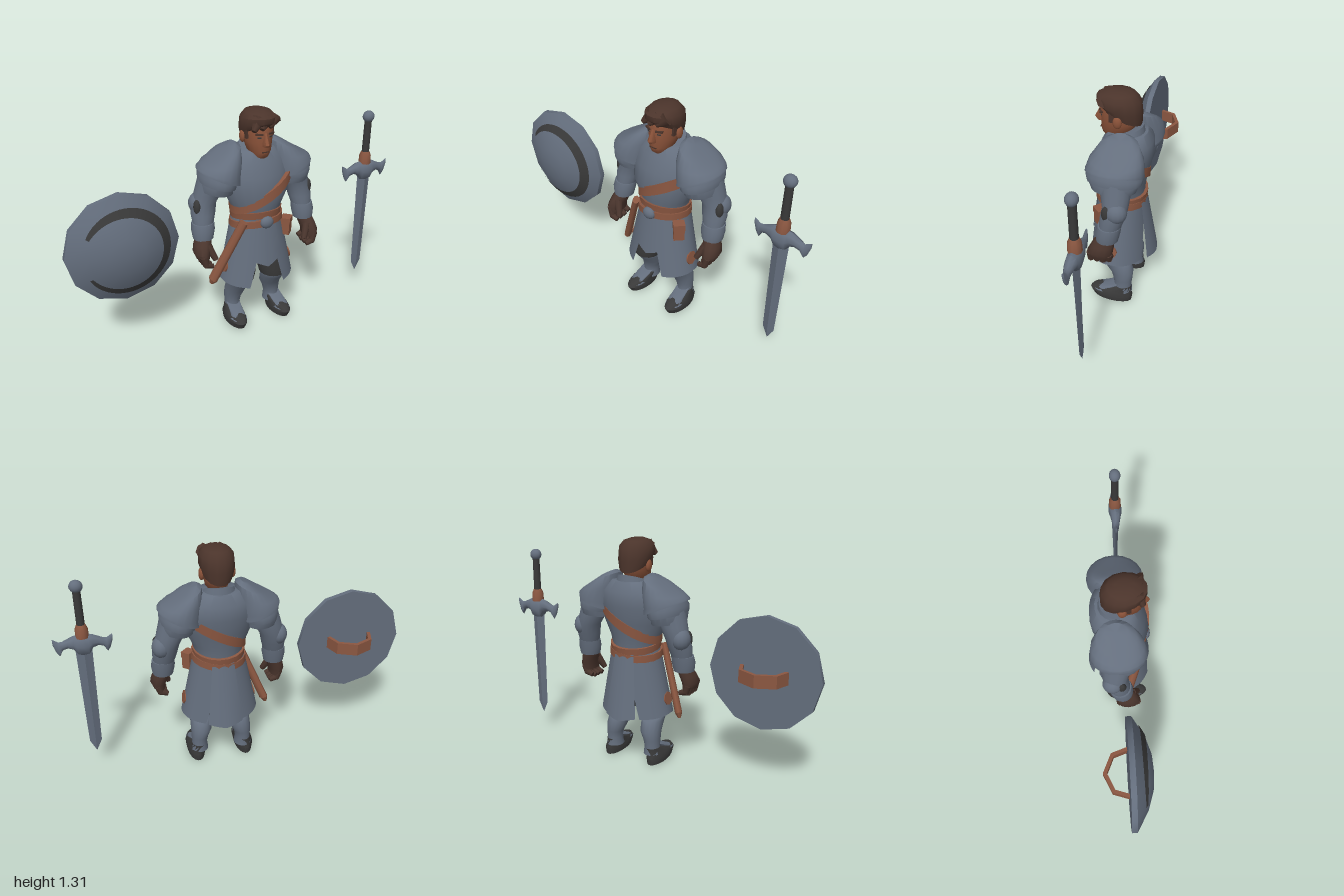
import * as THREE from 'three';
import { toCreasedNormals } from 'three/addons/utils/BufferGeometryUtils.js';
import { ParametricGeometry } from 'three/addons/geometries/ParametricGeometry.js';

const mat = (name, color, extra = {}) => {
  const m = new THREE.MeshStandardMaterial({ color, ...extra });
  m.name = name;
  return m;
};

// Closed skin over elliptical rings, listed from bottom to top.
// ring: [x, y, z, radiusX, radiusZ, slopeAlongX, slopeAlongZ]
function loft(rings, n = 18, crease = 0.75) {
  const pos = [], idx = [];
  for (const [x, y, z, rx, rz, tx = 0, tz = 0] of rings) {
    for (let i = 0; i < n; i++) {
      const a = (i / n) * Math.PI * 2, dx = rx * Math.cos(a), dz = rz * Math.sin(a);
      pos.push(x + dx, y + tx * dx + tz * dz, z + dz);
    }
  }
  const top = rings.length - 1, c0 = rings.length * n, c1 = c0 + 1;
  pos.push(...rings[0].slice(0, 3), ...rings[top].slice(0, 3));
  for (let i = 0; i < n; i++) {
    const j = (i + 1) % n;
    for (let k = 0; k < top; k++) {
      const a = k * n + i, b = k * n + j;
      idx.push(a, a + n, b, b, a + n, b + n);
    }
    idx.push(c0, i, j, c1, top * n + j, top * n + i);
  }
  const g = new THREE.BufferGeometry();
  g.setAttribute('position', new THREE.Float32BufferAttribute(pos, 3));
  g.setIndex(idx);
  return toCreasedNormals(g, crease);
}

// Tapered rod between two points
function rod(a, b, ra, rb, n = 8, flat = 1) {
  const A = new THREE.Vector3(...a), B = new THREE.Vector3(...b), d = B.clone().sub(A);
  const g = new THREE.CylinderGeometry(rb, ra, d.length(), n).scale(1, 1, flat);
  g.applyQuaternion(new THREE.Quaternion().setFromUnitVectors(new THREE.Vector3(0, 1, 0), d.normalize()));
  const m = A.add(B).multiplyScalar(0.5);
  return g.translate(m.x, m.y, m.z);
}

// Hanging cloth tail: half widths, heights of the corners and middle, depths, and bow
const tail = (w0, w1, y0, y1, yMid, z0, z1, bow) => new ParametricGeometry((u, v, p) => {
  const t = u * 2 - 1, x = t * (w0 + (w1 - w0) * v);
  p.set(x, y0 + (y1 + (yMid - y1) * (1 - Math.abs(t)) - y0) * v, z0 + (z1 - z0) * v - bow * x * x);
}, 8, 6);

const ball = (x, y, z, rx, ry, rz) =>
  new THREE.SphereGeometry(1, 14, 10).scale(rx, ry, rz).translate(x, y, z);
const box = (x, y, z, w, h, d, turn = 0) =>
  new THREE.BoxGeometry(w, h, d).rotateY(turn).translate(x, y, z);
const poly = (pts) => new THREE.Shape(pts.map(([x, y]) => new THREE.Vector2(x, y)));

export function createModel() {
  const steel = mat('steel', 0x646e7d), cloth = mat('steelCloth', 0x646e7d, { side: THREE.DoubleSide });
  const leather = mat('leather', 0x8b5741), skin = mat('skin', 0x8a5239);
  const hair = mat('hair', 0x4b342b), glove = mat('glove', 0x4a352d);
  const dark = mat('dark', 0x393939, { side: THREE.DoubleSide });
  const model = new THREE.Group(), knight = new THREE.Group(), shield = new THREE.Group(), sword = new THREE.Group();
  knight.name = 'knight'; shield.name = 'shield'; sword.name = 'sword';
  model.add(knight, shield, sword);
  const add = (group, name, geo, material) => {
    const m = new THREE.Mesh(geo, material);
    m.name = name;
    group.add(m);
    return m;
  };
  const body = (name, geo, material) => add(knight, name, geo, material);
  knight.position.x = 0.107;

  // Torso and collar
  body('breastplate', loft([
    [0, 0.6, 0.015, 0.13, 0.115], [0, 0.7, 0.015, 0.135, 0.125], [0, 0.76, 0.015, 0.15, 0.13],
    [0, 0.85, 0.015, 0.19, 0.15], [0, 0.95, -0.006, 0.2, 0.15], [0, 1.03, -0.02, 0.18, 0.135],
    [0, 1.085, -0.02, 0.115, 0.105]], 22, 1), steel);
  body('collar', loft([[0, 1.03, -0.01, 0.11, 0.11], [0, 1.09, -0.01, 0.085, 0.092, 0, -0.35]]), steel);

  // Belts, sash and pouch
  body('upperBelt', loft([[0, 0.69, 0.015, 0.147, 0.138, 0, 0.17], [0, 0.73, 0.015, 0.151, 0.143, 0, 0.17]]), leather);
  body('lowerBelt', loft([[0, 0.65, 0.018, 0.158, 0.143, 0.08, 0.12], [0, 0.69, 0.018, 0.156, 0.143, 0.08, 0.12]]), leather);
  body('chestStrap', loft([
    [0.025, 0.825, 0.015, 0.179, 0.157, 0.55], [0.025, 0.885, 0.012, 0.181, 0.158, 0.55]], 24), leather);
  body('buckle', ball(0, 0.69, 0.155, 0.04, 0.036, 0.025), steel);
  body('pouch', box(0.16, 0.612, 0.094, 0.06, 0.1, 0.05, 0.8), leather);
  body('pouchFlap', box(0.161, 0.648, 0.095, 0.065, 0.035, 0.056, 0.8), leather);
  body('scabbard', rod([-0.125, 0.7, 0.12], [-0.278, 0.325, 0.03], 0.027, 0.03, 8, 0.7), leather);
  body('scabbardTip', rod([-0.278, 0.325, 0.03], [-0.288, 0.297, 0.023], 0.03, 0.012, 8, 0.7), leather);

  // Pointed front tabard and long back tail
  body('tabard', tail(0.06, 0.095, 0.69, 0.465, 0.42, 0.15, 0.185, 3), cloth);
  body('backTail', tail(0.06, 0.1, 0.69, 0.31, 0.29, -0.118, -0.187, -3), cloth);

  // Head
  body('head', loft([
    [0, 1.03, 0.01, 0.055, 0.07], [0, 1.065, 0.05, 0.046, 0.07], [0, 1.09, 0.04, 0.062, 0.086],
    [0, 1.14, 0.025, 0.074, 0.1], [0, 1.2, 0.025, 0.078, 0.102], [0, 1.26, 0.02, 0.07, 0.09],
    [0, 1.29, 0.02, 0.04, 0.05]], 18, 1), skin);
  body('nose', loft([[0, 1.125, 0.12, 0.018, 0.03], [0, 1.14, 0.125, 0.019, 0.036], [0, 1.2, 0.115, 0.01, 0.016]], 8), skin);
  body('lips', box(0, 1.093, 0.119, 0.04, 0.006, 0.014), hair);
  body('hairCap', loft([
    [0, 1.18, 0.017, 0.085, 0.11, 0, 0.48], [0, 1.222, 0.025, 0.098, 0.121, 0, 0.25],
    [0, 1.27, 0.028, 0.094, 0.117, 0, 0.08], [0, 1.298, 0.028, 0.07, 0.085], [0, 1.31, 0.03, 0.035, 0.05]], 14, 0.8), hair);
  // Fringe swept to one side
  [-0.045, 0, 0.045].forEach((x, i) => body('fringeLock', rod(
    [x + 0.02, 1.27, 0.09], [x - 0.025, 1.216 + 0.006 * i, 0.126 - 3 * x * x], 0.04, 0.014, 7), hair));

  for (const s of [-1, 1]) {
    const side = s > 0 ? 'left' : 'right';
    const part = (name, geo, material) => body(side + name, geo, material);
    const M = (rings) => rings.map(([x, y, z, rx, rz, tx = 0, tz = 0]) => [x * s, y, z, rx, rz, tx * s, tz]);
    const line = (a, b, ...r) => rod([a[0] * s, a[1], a[2]], [b[0] * s, b[1], b[2]], ...r);

    // Face details
    part('Ear', ball(s * 0.085, 1.165, 0.015, 0.016, 0.035, 0.024), skin);
    part('Eye', box(s * 0.033, 1.175, 0.113, 0.02, 0.007, 0.009, s * 0.4), dark);
    part('Brow', box(s * 0.034, 1.194, 0.115, 0.04, 0.009, 0.018, s * 0.4), hair);
    part('Sideburn', box(s * 0.077, 1.19, 0.045, 0.014, 0.06, 0.03), hair);

    // Layered shoulder armour
    part('LowerPauldron', loft(M([
      [0.235, 0.87, -0.01, 0.092, 0.12, 0.12], [0.235, 0.93, -0.01, 0.094, 0.143, 0.1], [0.22, 1, -0.01, 0.085, 0.12]])), steel);
    part('MiddlePauldron', loft(M([
      [0.23, 0.91, -0.01, 0.1, 0.145, 0.2], [0.226, 0.945, -0.01, 0.104, 0.151, 0.2], [0.22, 1, -0.01, 0.09, 0.13]])), steel);
    part('UpperPauldron', loft(M([
      [0.217, 0.95, -0.01, 0.12, 0.155, 0.4], [0.217, 0.973, -0.01, 0.116, 0.154, 0.28], [0.2, 1.03, -0.015, 0.112, 0.14, -0.1],
      [0.178, 1.08, -0.02, 0.085, 0.105, -0.42], [0.162, 1.106, -0.02, 0.045, 0.06, -0.55]]), 20, 0.9), steel);

    // Arm, elbow guard and cuff
    part('Arm', loft(M([
      [0.32, 0.64, 0, 0.05, 0.052], [0.31, 0.74, -0.022, 0.07, 0.066], [0.297, 0.8, -0.035, 0.07, 0.068],
      [0.272, 0.86, -0.03, 0.08, 0.078], [0.245, 0.96, -0.02, 0.08, 0.09]]), 16, 1), steel);
    part('ElbowGuard', ball(s * 0.33, 0.79, -0.048, 0.052, 0.062, 0.058), steel);
    part('ElbowSleeve', ball(s * 0.351, 0.785, -0.002, 0.021, 0.048, 0.026), dark);
    part('Cuff', loft(M([
      [0.323, 0.6, 0.005, 0.058, 0.06], [0.321, 0.65, 0, 0.067, 0.066], [0.318, 0.69, -0.008, 0.064, 0.063]])), steel);

    // Gloved hand
    part('Hand', loft(M([
      [0.345, 0.495, 0.04, 0.036, 0.066], [0.35, 0.53, 0.038, 0.045, 0.07], [0.338, 0.57, 0.025, 0.048, 0.062],
      [0.322, 0.62, 0.008, 0.045, 0.046]]), 12, 1), glove);
    [0.09, 0.056, 0.022, -0.01].forEach((z, i) => {
      const low = 0.462 + (i === 3 ? 0.012 : 0);
      part('Finger', line([0.357, 0.52, z], [0.342, low, z + 0.002], 0.021, 0.019), glove);
      part('Fingertip', line([0.347, low + 0.006, z + 0.002], [0.303, low - 0.01, z + 0.002], 0.02, 0.014), glove);
    });
    part('Thumb', line([0.32, 0.57, 0.06], [0.285, 0.49, 0.095], 0.025, 0.016), glove);

    // Leg, greave and shoe
    part('Trouser', loft(M([[0.107, 0.295, 0.038, 0.078, 0.084], [0.1, 0.34, 0.038, 0.083, 0.088],
      [0.09, 0.45, 0.025, 0.08, 0.092], [0.065, 0.64, 0.015, 0.06, 0.085]]), 16, 1), dark);
    part('Greave', loft(M([
      [0.133, 0.06, -0.02, 0.052, 0.058], [0.132, 0.11, -0.022, 0.044, 0.05], [0.13, 0.15, -0.022, 0.05, 0.056],
      [0.118, 0.2, -0.015, 0.062, 0.066], [0.113, 0.26, 0.018, 0.066, 0.078], [0.112, 0.285, 0.04, 0.07, 0.081, 0, 0.2],
      [0.112, 0.3, 0.042, 0.068, 0.079, 0, 0.3]]), 16, 0.9), steel);
    part('Shoe', loft(M([
      [0.147, 0.007, 0.038, 0.05, 0.116, 0, 0.06], [0.147, 0.045, 0.045, 0.057, 0.128, 0, 0.05],
      [0.145, 0.068, 0.04, 0.05, 0.115, 0, 0.04], [0.135, 0.1, -0.02, 0.044, 0.055]])), dark);
    part('ToePlate', loft(M([
      [0.146, 0.06, 0.088, 0.049, 0.07], [0.144, 0.08, 0.075, 0.04, 0.06, 0, -0.1], [0.137, 0.115, 0.0, 0.04, 0.04, 0, -0.3]])), steel);

    // Flared side skirt with a round leather patch, open at front and back
    part('Skirt', new ParametricGeometry((u, v, p) => {
      const a = (1.45 - 0.38 * v) * (1 - 2 * u);
      p.set(s * (0.142 + 0.083 * v) * Math.cos(a),
        0.7 - v * (0.385 + 0.022 * Math.abs(Math.sin(a))),
        0.015 + 0.01 * v + (0.13 + 0.04 * v) * Math.sin(a));
    }, 16, 6), cloth);
    const patch = part('SkirtPatch', new THREE.CylinderGeometry(0.04, 0.04, 0.008, 8), leather);
    patch.position.set(s * 0.206, 0.4, 0.03);
    patch.rotation.z = -1.37 * s;
  }

  // Twelve-sided domed shield
  shield.position.set(-0.685, 0.658, 0);
  const profile = [[0, 0.01], [0.312, 0.01], [0.312, 0.04], [0.2, 0.105], [0.1, 0.138], [0, 0.147]];
  add(shield, 'shieldDome', toCreasedNormals(new THREE.LatheGeometry(
    profile.map(([r, h]) => new THREE.Vector2(r, h)), 12).rotateX(Math.PI / 2), 0.9), steel);
  add(shield, 'shieldCrescent', new ParametricGeometry((u, v, p) => {
    const t = u * 2 - 1, a = t * 2.6;
    const r = 0.226 + (v * 2 - 1) * 0.025 * (1 - 0.65 * Math.abs(t) ** 3);
    const z = r > 0.2 ? 0.105 - 0.58 * (r - 0.2) : 0.105 + 0.33 * (0.2 - r);
    p.set(r * Math.cos(a), r * Math.sin(a), z + 0.004);
  }, 48, 4), dark);
  const arch = [[-0.135, 0], [-0.105, 0.09], [0, 0.138], [0.105, 0.09], [0.135, 0]];
  const inner = arch.map(([x, y]) => [x * 0.85, y * 0.84]).reverse();
  const handle = add(shield, 'shieldHandle', new THREE.ExtrudeGeometry(poly([...arch, ...inner]),
    { depth: 0.07, bevelEnabled: false }).rotateX(-Math.PI / 2), leather);
  handle.position.set(0, -0.035, 0.011);

  // Sword
  sword.position.set(0.843, 0, 0.02);
  add(sword, 'blade', loft([[0, 0.12, 0, 0.001, 0.001], [0, 0.19, 0, 0.034, 0.011], [0, 0.83, 0, 0.045, 0.022]], 4, 0.2), steel);
  add(sword, 'pommel', ball(0, 1.16, 0, 0.036, 0.034, 0.032), steel);
  add(sword, 'grip', rod([0, 0.93, 0], [0, 1.14, 0], 0.022, 0.021, 12), dark);
  add(sword, 'gripCollar', loft([[0, 0.87, 0, 0.036, 0.036], [0, 0.92, 0, 0.034, 0.034], [0, 0.945, 0, 0.024, 0.024]], 10), leather);
  // Cross guard swept sideways: [distance, height, half height, half depth]
  const arm = [[0.03, 0.825, 0.06, 0.037], [0.05, 0.84, 0.041, 0.032], [0.08, 0.839, 0.027, 0.026],
    [0.108, 0.828, 0.026, 0.02], [0.126, 0.81, 0.042, 0.015], [0.142, 0.827, 0.036, 0.011], [0.157, 0.855, 0.017, 0.006]];
  const ring = (k) => ([d, y, h, w]) => [-y, d * k, 0, h, w];
  add(sword, 'crossGuard', loft([...arm.map(ring(-1)).reverse(), [-0.822, 0, 0, 0.066, 0.039], ...arm.map(ring(1))], 8, 0.9)
    .rotateZ(-Math.PI / 2), steel);

  return model;
}
